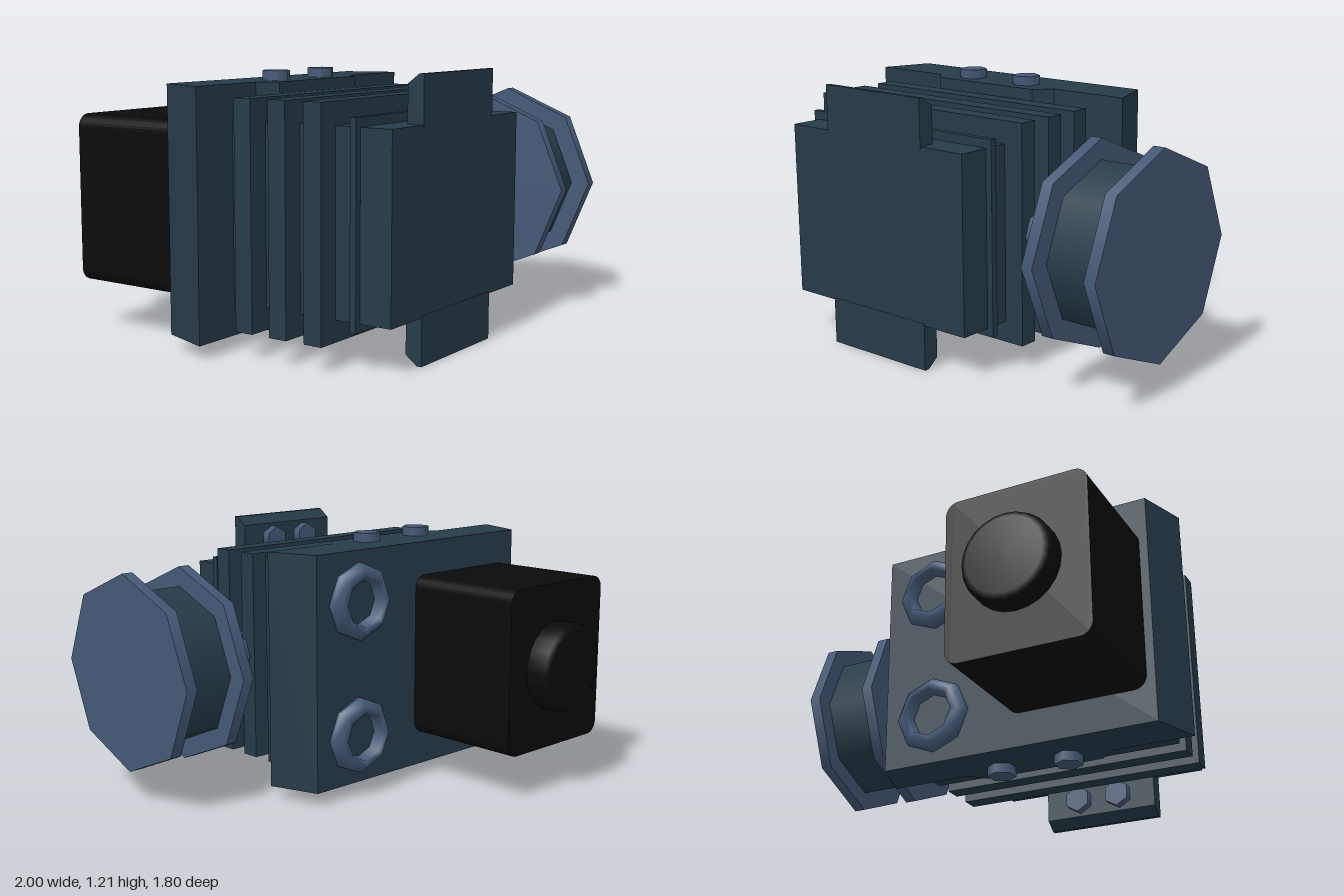
import * as THREE from 'three';

const material = (name, color) => {
  const m = new THREE.MeshStandardMaterial({ color });
  m.name = name;
  return m;
};

export function createModel() {
  const model = new THREE.Group();
  model.name = 'compressor';
  const casing = material('dark teal casing', 0x263b49);
  const steel = material('blue steel', 0x445876);
  const black = material('black', 0x0a0a0a);

  const add = (name, geometry, mat) => {
    const mesh = new THREE.Mesh(geometry, mat);
    mesh.name = name;
    model.add(mesh);
    return mesh;
  };
  // Box given by its limits on each axis
  const box = (name, [x0, x1], [y0, y1], [z0, z1], mat) =>
    add(name, new THREE.BoxGeometry(x1 - x0, y1 - y0, z1 - z0), mat)
      .position.set((x0 + x1) / 2, (y0 + y1) / 2, (z0 + z1) / 2);
  const polygon = (points) => new THREE.Shape(points.map(([x, y]) => new THREE.Vector2(x, y)));
  const extrude = (shape, depth) =>
    new THREE.ExtrudeGeometry(shape, { depth, bevelEnabled: false, curveSegments: 4 });

  // Finned block
  box('block', [-0.77, 0.27], [0.21, 1.01], [0, 0.84], casing);
  box('thinRib', [-0.8, 0.3], [0.175, 1.05], [0.66, 0.69], casing);
  for (const z of [0.165, 0.345, 0.525]) {
    box('coolingFin', [-0.87, 0.365], [0.115, 1.11], [z - 0.044, z + 0.044], casing);
  }

  // Tapered rear plate with a raised middle, outlined in x and z
  const plate = extrude(polygon([
    [-1, 0.03], [-0.92, -0.205], [0.42, -0.205], [0.5, 0.03],
    [0.11, 0.03], [0.04, 0.105], [-0.54, 0.105], [-0.61, 0.03],
  ]), 1.095);
  plate.rotateX(Math.PI / 2);
  plate.translate(0, 1.16, 0);
  add('rearPlate', plate, casing);

  // Hexagonal bolts above and below the rear plate
  for (const x of [-0.42, -0.085]) {
    for (const y of [1.18, 0.0425]) {
      add('plateBolt', new THREE.CylinderGeometry(0.066, 0.066, 0.046, 6), steel)
        .position.set(x, y, -0.005);
    }
  }

  // Mounting brackets and their bolts, mirrored top to bottom
  for (const flip of [false, true]) {
    const my = (y) => (flip ? 1.22 - y : y);
    const bracket = extrude(polygon(
      [[0.842, 1.0], [0.842, 1.217], [0.82, 1.217], [0.765, 1.175], [0.765, 1.0]]
        .map(([z, y]) => [z, my(y)])), 0.575);
    bracket.rotateY(-Math.PI / 2);
    bracket.translate(0.035, 0, 0);
    add('bracket', bracket, casing);
    for (const x of [-0.355, -0.145]) {
      const bolt = add('bracketBolt', new THREE.CylinderGeometry(0.066, 0.066, 0.046, 6), steel);
      bolt.rotation.x = Math.PI / 2;
      bolt.position.set(x, my(1.095), 0.743);
    }
  }

  // Port rings on the back
  const ringProfile = [[0.18, 0], [0.18, 0.022], [0.15, 0.055], [0.115, 0.055], [0.105, 0]]
    .map(([r, y]) => new THREE.Vector2(r, y));
  for (const y of [0.925, 0.295]) {
    const ring = add('portRing', new THREE.LatheGeometry(ringProfile, 8), steel);
    ring.rotation.x = -Math.PI / 2;
    ring.position.set(0.165, y, -0.205);
  }

  // Motor housing, rounded along its length
  const w = 0.3325, h = 0.3875, r = 0.06;
  const outline = new THREE.Shape();
  outline.absarc(w - r, h - r, r, 0, Math.PI / 2);
  outline.absarc(r - w, h - r, r, Math.PI / 2, Math.PI);
  outline.absarc(r - w, r - h, r, Math.PI, Math.PI * 1.5);
  outline.absarc(w - r, r - h, r, Math.PI * 1.5, Math.PI * 2);
  add('motorHousing', extrude(outline, 0.59), black).position.set(-0.5475, 0.6125, -0.79);

  // Round motor cap with a softened rim
  const capProfile = [[0.21, 0], [0.21, 0.07], [0.2, 0.096], [0.175, 0.11], [0, 0.11]]
    .map(([x, y]) => new THREE.Vector2(x, y));
  const cap = add('motorCap', new THREE.LatheGeometry(capProfile, 24), black);
  cap.rotation.x = -Math.PI / 2;
  cap.position.set(-0.545, 0.6125, -0.79);

  // Drive shaft and eight-sided pulley along x
  const drum = (name, radius, x0, x1, mat) => {
    const mesh = add(name, new THREE.CylinderGeometry(radius, radius, x1 - x0, 8), mat);
    mesh.rotation.z = -Math.PI / 2;
    mesh.position.set((x0 + x1) / 2, 0.61, 0.44);
  };
  drum('driveShaft', 0.106, 0.25, 0.64, steel);
  drum('innerFlange', 0.46, 0.635, 0.69, steel);
  drum('pulleyHub', 0.368, 0.69, 0.945, casing);
  drum('outerFlange', 0.46, 0.945, 1, steel);

  return model;
}
